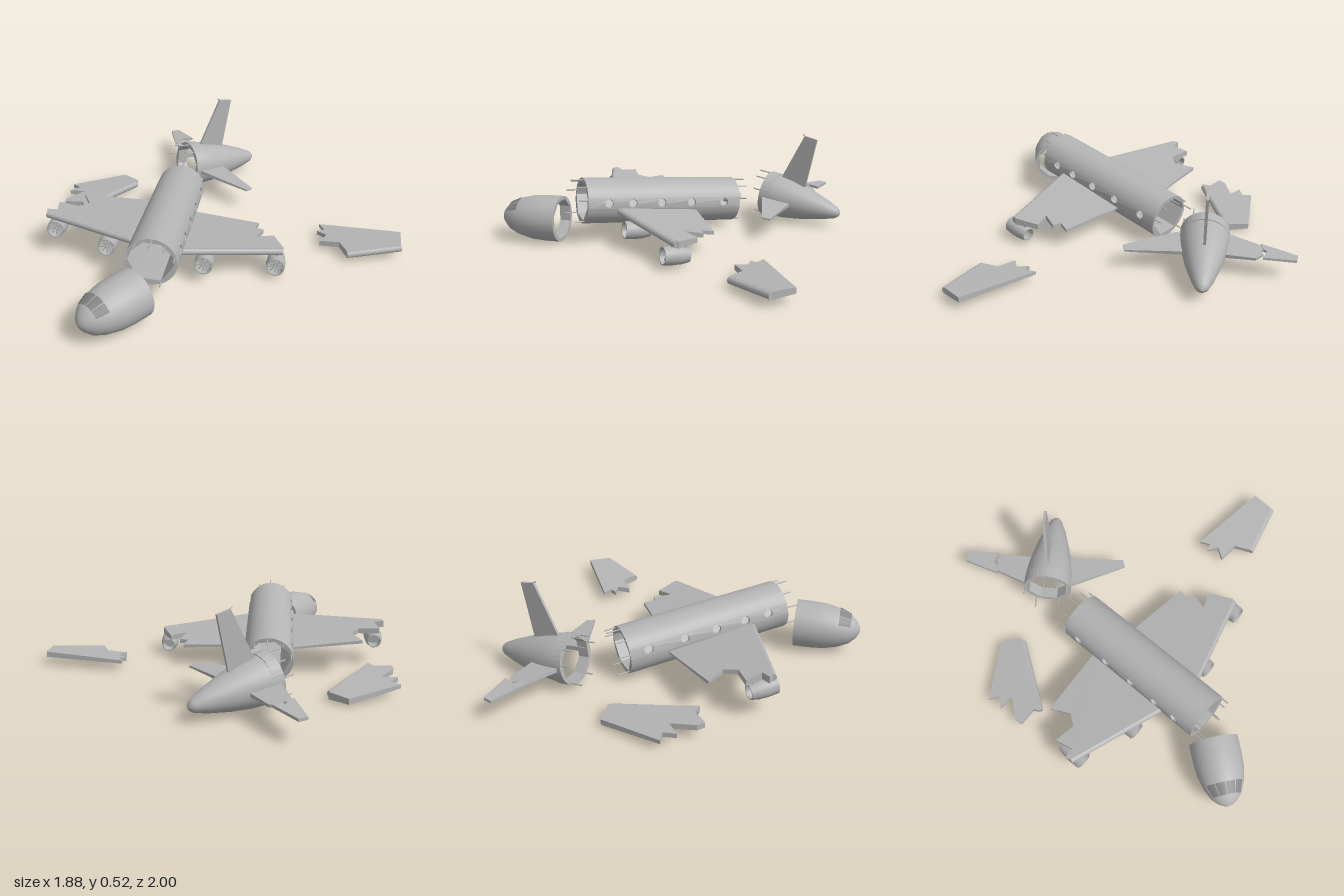
import * as THREE from 'three';
import { toCreasedNormals } from 'three/addons/utils/BufferGeometryUtils.js';

const R = 0.13; // hull radius
const WALL = 0.114; // inner lining radius

export function createModel() {
  const model = new THREE.Group();
  model.name = 'brokenAirliner';
  const metal = new THREE.MeshStandardMaterial({ color: 0xb4b4b4 });
  metal.name = 'grey metal';
  const glass = new THREE.MeshStandardMaterial({ color: 0x868686 });
  glass.name = 'dark grey glass';

  function add(parent, name, geometry, material = metal) {
    const mesh = new THREE.Mesh(geometry, material);
    mesh.name = name;
    parent.add(mesh);
    return mesh;
  }
  function section(name, position, pitch, yaw, roll = 0, parent = model) {
    const g = new THREE.Group();
    g.name = name;
    g.position.set(...position);
    g.rotation.set(pitch, yaw, roll, 'YXZ');
    parent.add(g);
    return g;
  }
  // Round bar between two points
  function rod(parent, name, a, b, r, sides = 6) {
    const p = new THREE.Vector3(...a), q = new THREE.Vector3(...b);
    const mesh = add(parent, name, new THREE.CylinderGeometry(r, r, p.distanceTo(q), sides));
    mesh.position.copy(p).lerp(q, 0.5);
    mesh.quaternion.setFromUnitVectors(new THREE.Vector3(0, 1, 0), q.sub(p).normalize());
  }
  // Lathe turned so that its axis runs along z
  function turned(profile, sides = 32, start = 0, length = Math.PI * 2) {
    const pts = profile.map(p => new THREE.Vector2(...p));
    return new THREE.LatheGeometry(pts, sides, start, length).rotateX(Math.PI / 2);
  }
  // Horizontal plate from an [x, z] outline, with height and thickness rules
  function plate(parent, name, outline, height, thickness) {
    const shape = new THREE.Shape(outline.map(([x, z]) => new THREE.Vector2(x, -z)));
    const geo = new THREE.ExtrudeGeometry(shape, { depth: 1, bevelEnabled: false }).rotateX(-Math.PI / 2);
    const p = geo.attributes.position;
    for (let i = 0; i < p.count; i++) {
      const x = p.getX(i), z = p.getZ(i);
      p.setY(i, height(x, z) + (p.getY(i) - 0.5) * thickness(x, z));
    }
    geo.computeVertexNormals();
    add(parent, name, geo);
  }
  // Wing panel, thick and round along the leading edge a-b, thin behind
  function wing(name, outline, a, b, height) {
    const dx = b[0] - a[0], dz = b[1] - a[1], len = Math.hypot(dx, dz);
    const thick = (x, z) => Math.max(0.01, 0.038 - 0.07 * Math.abs((x - a[0]) * dz - (z - a[1]) * dx) / len);
    const g = section(name, [0, 0, 0], 0, 0);
    plate(g, name + 'Panel', outline, height, thick);
    rod(g, name + 'LeadingEdge', [a[0], height(...a), a[1]], [b[0], height(...b), b[1]], 0.019, 12);
  }
  // Torn frame bars sticking out of an open end
  function tornBars(parent, z, dir) {
    [0.35, 1.0, 1.6, 2.3, 2.95, 4.1, 5.2].forEach((a, i) => {
      const x = Math.cos(a) * 0.121, y = Math.sin(a) * 0.121;
      rod(parent, 'tornBar', [x, y, z - dir * 0.03], [x, y, z + dir * (0.045 + 0.012 * (i % 3))], 0.004);
    });
  }
  // Eight-sided lining at the mouth of a broken end
  function lining(parent, z) {
    const shape = new THREE.Shape().absarc(0, 0, R - 0.0005, 0, Math.PI * 2);
    const hole = Array.from({ length: 8 }, (_, i) => {
      const a = (i + 0.5) * Math.PI / 4;
      return new THREE.Vector2(Math.cos(a) * WALL, Math.sin(a) * WALL);
    });
    shape.holes.push(new THREE.Path(hole));
    add(parent, 'lining', new THREE.ExtrudeGeometry(shape, { depth: 0.06, bevelEnabled: false, curveSegments: 16 }).translate(0, 0, z));
  }

  // Middle hull: roof and belly arcs plus two bands pierced by windows
  const L = 0.89;
  const hull = section('middleHull', [-0.305, 0.193, 0.187], -0.1, -0.056, -0.085);
  hull.scale.y = 0.95;
  function arcShell(name, from, to) {
    const pts = [];
    const ring = (r, n, a, b) => {
      for (let i = 0; i <= n; i++) {
        const t = a + (b - a) * i / n;
        pts.push(new THREE.Vector2(Math.cos(t) * r, Math.sin(t) * r));
      }
    };
    ring(R, 18, from, to);
    ring(WALL, 3, to, from);
    const geo = new THREE.ExtrudeGeometry(new THREE.Shape(pts), { depth: L, bevelEnabled: false });
    add(hull, name, toCreasedNormals(geo.translate(0, 0, -L / 2), 0.4));
  }
  const low = -0.03, high = 0.43;
  arcShell('roof', high, Math.PI - high);
  arcShell('belly', Math.PI - low, Math.PI * 2 + low);
  for (const side of [-1, 1]) {
    const band = new THREE.Shape([[-L / 2, low], [L / 2, low], [L / 2, high], [-L / 2, high]]
      .map(([z, a]) => new THREE.Vector2(z, a * R)));
    for (const z of [0.33, 0.196, 0.03, -0.147, -0.345]) {
      band.holes.push(new THREE.Path().absarc(z, 0.2 * R, 0.024, 0, Math.PI * 2));
    }
    const geo = new THREE.ExtrudeGeometry(band, { depth: 0.014, bevelEnabled: false, curveSegments: 8 });
    if (side > 0) geo.scale(-1, 1, 1).rotateY(0);
    const p = geo.attributes.position;
    for (let i = 0; i < p.count; i++) {
      const z = side > 0 ? -p.getX(i) : p.getX(i), a = p.getY(i) / R, r = R - 0.014 + p.getZ(i);
      p.setXYZ(i, side * Math.cos(a) * r, Math.sin(a) * r, z);
    }
    if (side > 0) {
      // the mirrored band needs its triangles turned round
      for (let i = 0; i < p.count; i += 3) {
        const b = new THREE.Vector3().fromBufferAttribute(p, i + 1);
        const c = new THREE.Vector3().fromBufferAttribute(p, i + 2);
        p.setXYZ(i + 1, c.x, c.y, c.z);
        p.setXYZ(i + 2, b.x, b.y, b.z);
      }
    }
    add(hull, side > 0 ? 'leftWindowBand' : 'rightWindowBand', toCreasedNormals(geo, 0.6));
  }
  tornBars(hull, L / 2, 1);
  tornBars(hull, -L / 2, -1);

  // Nose section with wraparound windscreen
  const nose = section('nose', [-0.39, 0.131, 0.725], 0, -0.71);
  nose.scale.y = 0.96;
  add(nose, 'noseShell', turned([[R, 0], [R, 0.08], [0.125, 0.16], [0.106, 0.235], [0.08, 0.29], [0.045, 0.325], [0.02, 0.338], [0, 0.342]]));
  lining(nose, 0);
  for (let i = 0; i < 4; i++) {
    add(nose, 'windscreenPane', turned([[0.112, 0.228], [0.109, 0.237], [0.085, 0.29]], 5, Math.PI - 0.98 + i * 0.5, 0.46), glass);
  }

  // Tail section with fin and stabilisers
  const tail = section('tail', [-0.275, 0.155, -0.505], -0.15, -0.972);
  add(tail, 'tailShell', turned([[0, -0.465], [0.018, -0.458], [0.034, -0.44], [0.06, -0.375], [0.095, -0.26], [0.119, -0.15], [R, -0.06], [R, 0]])).scale.y = 0.96;
  lining(tail, -0.06);
  tornBars(tail, 0, 1);
  const fin = new THREE.Shape([[-0.07, 0.1], [-0.173, 0.395], [-0.25, 0.39], [-0.228, 0.08]].map(p => new THREE.Vector2(...p)));
  add(tail, 'fin', new THREE.ExtrudeGeometry(fin, { depth: 0.014, bevelEnabled: false }).translate(0, 0, -0.007).rotateY(-Math.PI / 2));
  rod(tail, 'finTipBar', [0, 0.385, -0.19], [0, 0.402, -0.16], 0.003);
  const flat = () => 0, thin = x => 0.026 - 0.04 * Math.abs(x);
  plate(tail, 'leftStabiliser', [[0.1, -0.01], [0.42, -0.162], [0.407, -0.206], [0.1, -0.19]], flat, thin);
  plate(tail, 'rightStabiliserStump', [[-0.1, -0.01], [-0.29, -0.09], [-0.325, -0.112], [-0.29, -0.132], [-0.302, -0.16], [-0.264, -0.198], [-0.1, -0.19]], flat, thin);
  plate(model, 'stabiliserFragment', [[-0.423, -0.98], [-0.38, -1], [-0.275, -0.865], [-0.335, -0.85], [-0.345, -0.82], [-0.375, -0.79]],
    (x, z) => 0.135 + 0.08 * (z + 0.9), () => 0.014);

  // Attached wings, both in one tilted plane
  const wingY = (x, z) => 0.126 - 0.085 * x + 0.1 * z;
  wing('rightWing', [[-0.4, -0.06], [-0.79, -0.045], [-0.745, 0.06], [-0.79, 0.115], [-0.9, 0.09], [-0.885, 0.185], [-0.94, 0.19],
    [-0.93, 0.215], [-0.44, 0.41]], [-0.93, 0.215], [-0.44, 0.41], wingY);
  wing('leftWing', [[-0.18, 0.02], [0.175, 0.085], [0.155, 0.145], [0.2, 0.16], [0.165, 0.25], [0.255, 0.22], [0.305, 0.345],
    [0.3, 0.355], [-0.21, 0.465]], [0.3, 0.355], [-0.21, 0.465], wingY);

  // Wing tips lying on the ground
  wing('leftWingTip', [[0.505, -0.02], [0.935, 0.065], [0.925, 0.185], [0.64, 0.24], [0.605, 0.155], [0.5, 0.14], [0.54, 0.085], [0.49, 0.045], [0.53, 0.035]],
    [0.925, 0.185], [0.64, 0.24], (x, z) => 0.033 + 0.045 * x - 0.05 * z);
  wing('rightWingTip', [[-0.66, -0.535], [-0.57, -0.46], [-0.815, -0.1], [-0.84, -0.14], [-0.935, -0.14], [-0.935, -0.18], [-0.855, -0.28],
    [-0.94, -0.285], [-0.895, -0.335], [-0.94, -0.37]], [-0.58, -0.445], [-0.82, -0.11], (x, z) => 0.04 + 0.08 * (z + 0.5) - 0.03 * (x + 0.75));

  // Four engines with fans
  const nacelle = [[0.037, -0.07], [0.046, -0.03], [0.049, 0.02], [0.047, 0.07], [0.041, 0.07], [0.04, 0.03], [0.032, -0.07], [0.037, -0.07]];
  for (const pos of [[-0.885, 0.15, 0.19], [-0.595, 0.13, 0.31], [-0.09, 0.108, 0.41], [0.27, 0.07, 0.35]]) {
    const engine = section('engine', pos, -0.1, -0.056, -0.085);
    add(engine, 'nacelle', toCreasedNormals(turned(nacelle, 20), 0.6));
    add(engine, 'fanDisc', new THREE.CylinderGeometry(0.038, 0.038, 0.006, 20).rotateX(Math.PI / 2));
    add(engine, 'hub', new THREE.ConeGeometry(0.011, 0.05, 12).rotateX(Math.PI / 2).translate(0, 0, 0.04));
    for (let i = 0; i < 10; i++) {
      add(engine, 'fanBlade', new THREE.BoxGeometry(0.006, 0.034, 0.006).translate(0, 0.024, 0.045).rotateZ(i * Math.PI / 5));
    }
    add(engine, 'pylon', new THREE.BoxGeometry(0.014, 0.04, 0.08)).position.set(0, 0.055, -0.01);
  }
  return model;
}
